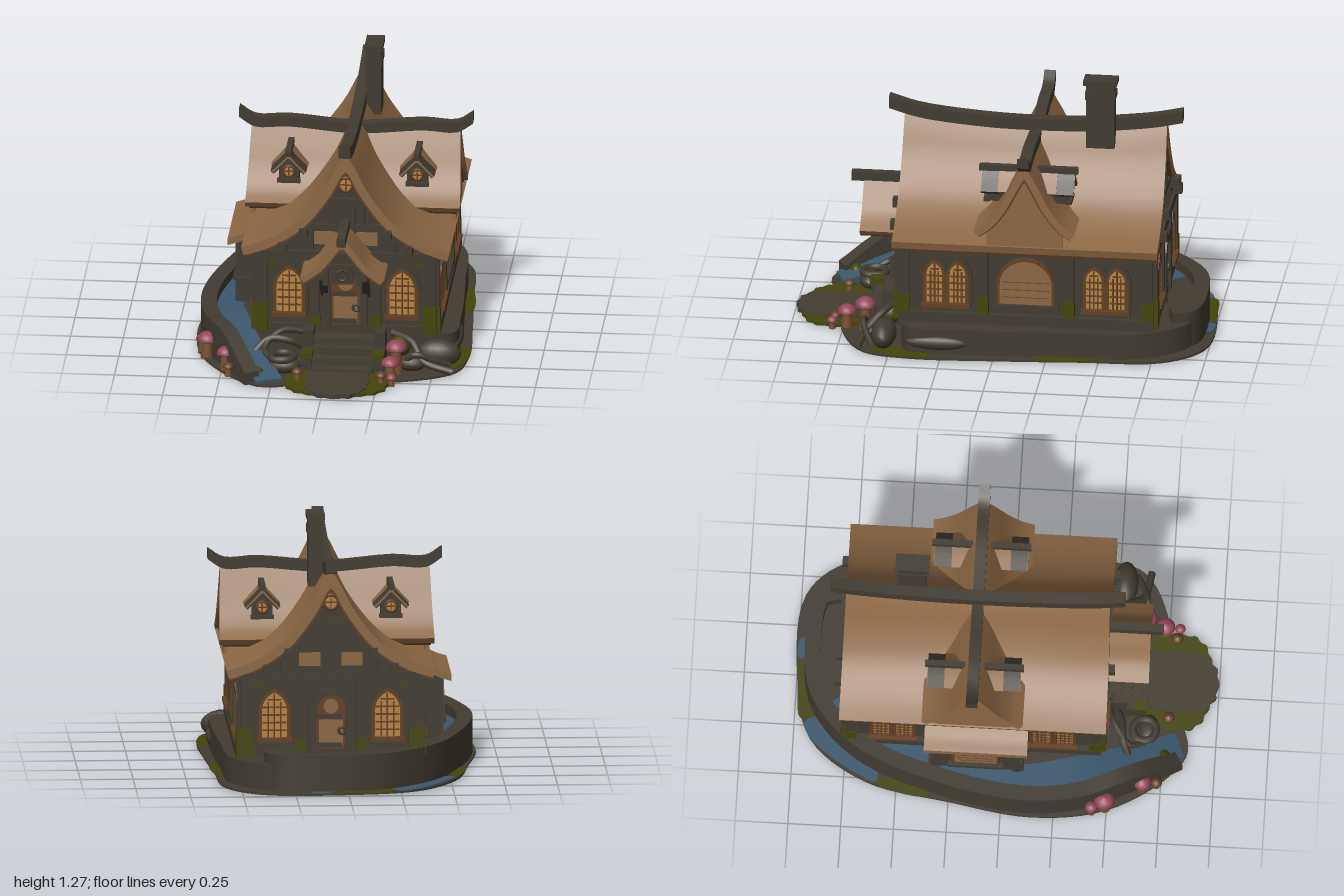
import * as THREE from 'three';
import { toCreasedNormals } from 'three/addons/utils/BufferGeometryUtils.js';

const mat = (name, color) => Object.assign(new THREE.MeshStandardMaterial({ color }), { name });
const timber = mat('timber and stone', 0x423c31), thatch = mat('thatch', 0x8c6743), gold = mat('lit glass', 0xba853f);
const brown = mat('brown wood', 0x623f24), pink = mat('mushroom cap', 0x944657), water = mat('water', 0x3b586e);
const moss = mat('moss', 0x434508), path = mat('path', 0x443e31), stem = mat('mushroom stem', 0x744d2e);

const V2 = (x, y) => new THREE.Vector2(x, y);
const V3 = (p) => new THREE.Vector3(...p);

function add(parent, name, geo, material, x = 0, y = 0, z = 0) {
  const m = new THREE.Mesh(geo, material);
  m.name = name;
  m.position.set(x, y, z);
  parent.add(m);
  return m;
}
const box = (parent, name, m, w, h, d, x, y, z) => add(parent, name, new THREE.BoxGeometry(w, h, d), m, x, y, z);
function group(parent, name, x = 0, y = 0, z = 0, ry = 0) {
  const g = new THREE.Group();
  g.name = name;
  g.position.set(x, y, z);
  g.rotation.y = ry;
  parent.add(g);
  return g;
}

// Box bent along a curve through its top; without a height it reaches the ground
function beam(parent, name, m, pts, w, h = null, seg = 24) {
  const curve = new THREE.CatmullRomCurve3(pts.map(V3));
  const geo = new THREE.BoxGeometry(1, 1, 1, pts.length > 2 ? seg : 1, 1, 1), pos = geo.attributes.position;
  const up = new THREE.Vector3(0, 1, 0);
  for (let i = 0; i < pos.count; i++) {
    const u = pos.getX(i) + 0.5, p = curve.getPoint(u), side = curve.getTangent(u).cross(up).normalize();
    p.addScaledVector(side, pos.getZ(i) * w);
    if (pos.getY(i) < 0) p.y = h === null ? 0 : p.y - h;
    pos.setXYZ(i, p.x, p.y, p.z);
  }
  return add(parent, name, toCreasedNormals(geo, 0.6), m);
}

// Flat slab with a smooth outline in x and z
function slab(parent, name, m, pts, y, h) {
  const c = new THREE.CatmullRomCurve3(pts.map(([x, z]) => new THREE.Vector3(x, -z, 0)), true);
  const geo = new THREE.ExtrudeGeometry(new THREE.Shape(c.getPoints(96).map((p) => V2(p.x, p.y))), { depth: h, bevelEnabled: false });
  return add(parent, name, toCreasedNormals(geo.rotateX(-Math.PI / 2), 0.6), m, 0, y, 0);
}

// Half roof profiles run from the ridge down to the eave
const spline = (pts) => new THREE.SplineCurve(pts.map((p) => V2(...p))).getPoints(16);
function inset(pts, t) {
  if (!t) return pts;
  const moved = pts.map((p, i) => {
    const a = pts[Math.max(i - 1, 0)], b = pts[Math.min(i + 1, pts.length - 1)], d = b.clone().sub(a).normalize();
    return V2(p.x + d.y * t, p.y - d.x * t);
  }).filter((p) => p.x > 0.004);
  return [V2(0, pts[0].y - 2.1 * t), ...moved];
}
const mirror = (pts) => pts.slice(1).map((p) => V2(-p.x, p.y));
function extrude(shape, depth, steps = 1) {
  return new THREE.ExtrudeGeometry(shape, { depth, steps, bevelEnabled: false, curveSegments: 10 }).translate(0, 0, -depth / 2);
}
// Roof sheet between two insets; the ridge rises by sag and the eave flares out towards both ends
function roofGeo(pts, t0, t1, depth, sag = 0, flare = 0) {
  const o = inset(pts, t0), n = inset(pts, t1);
  const geo = extrude(new THREE.Shape([...o, ...n.slice().reverse(), ...mirror(n), ...mirror(o).reverse()]), depth, sag ? 12 : 1);
  const pos = geo.attributes.position, low = pts[pts.length - 1].y, rise = pts[0].y - low;
  for (let i = 0; i < pos.count; i++) {
    const k = Math.min(Math.max((pos.getY(i) - low) / rise, 0), 1), u = (2 * pos.getZ(i)) / depth;
    pos.setY(i, pos.getY(i) + sag * k * u * u);
    pos.setZ(i, pos.getZ(i) + flare * u * (1 - k));
  }
  return toCreasedNormals(geo, 0.6);
}
function gableGeo(pts, t, half, base, depth) {
  const n = inset(pts, t).filter((p) => p.x < half);
  const side = [...n, V2(half, n[n.length - 1].y), V2(half, base)];
  return extrude(new THREE.Shape([...side, ...mirror(side).reverse()]), depth);
}

// Arched outline standing on y = 0
function arch(w, h, pointed, C = THREE.Shape) {
  const s = new C(), r = w / 2, y0 = pointed ? h - w * 0.8 : h - r;
  s.moveTo(-r, 0);
  s.lineTo(r, 0);
  s.lineTo(r, y0);
  if (pointed) {
    s.quadraticCurveTo(r, h - w * 0.25, 0, h);
    s.quadraticCurveTo(-r, h - w * 0.25, -r, y0);
  } else s.absarc(0, y0, r, 0, Math.PI, false);
  s.lineTo(-r, 0);
  return s;
}
function archFrame(g, name, m, w, h, t, d, pointed) {
  const s = arch(w + 2 * t, h + t, pointed);
  s.holes.push(arch(w, h, pointed, THREE.Path));
  add(g, name, extrude(s, d), m, 0, 0, d / 2);
}
function archWindow(parent, x, y, z, w, h) {
  const g = group(parent, 'archedWindow', x, y, z);
  add(g, 'glass', extrude(arch(w, h, true), 0.008), gold, 0, 0, 0.006);
  archFrame(g, 'windowFrame', brown, w, h, 0.016, 0.022, true);
  archFrame(g, 'windowSurround', timber, w + 0.032, h + 0.016, 0.016, 0.016, true);
  for (const k of [-1, 0, 1]) box(g, 'mullion', brown, 0.007, h * (k ? 0.78 : 0.97), 0.008, k * w * 0.25, h * (k ? 0.39 : 0.485), 0.012);
  for (let i = 1; i < 6; i++) box(g, 'glazingBar', brown, w * (i === 5 ? 0.55 : 0.94), 0.007, 0.008, 0, (h * i) / 6, 0.012);
  box(g, 'sill', brown, w + 0.045, 0.02, 0.045, 0, -0.008, 0.018);
}
function shutter(parent, x, y, z, ry, w, h) {
  const g = group(parent, 'archedShutter', x, y, z, ry);
  add(g, 'shutterPanel', extrude(arch(w, h, false), 0.01), thatch, 0, 0, 0.006);
  archFrame(g, 'shutterFrame', brown, w, h, 0.014, 0.02, false);
  for (let i = 1; i < 4; i++) box(g, 'plankJoint', brown, w * 0.9, 0.003, 0.004, 0, i * h * 0.17, 0.011);
  box(g, 'sill', timber, w + 0.06, 0.025, 0.04, 0, -0.01, 0.01);
}
function roundWindow(parent, y, z, r) {
  add(parent, 'roundGlass', new THREE.CylinderGeometry(r, r, 0.008, 20).rotateX(Math.PI / 2), gold, 0, y, z);
  add(parent, 'roundFrame', new THREE.TorusGeometry(r, r * 0.24, 8, 20), brown, 0, y, z);
  box(parent, 'roundBar', brown, 0.006, 2 * r, 0.008, 0, y, z + 0.004);
  box(parent, 'roundBar', brown, 2 * r, 0.006, 0.008, 0, y, z + 0.004);
}
function door(parent, y, z) {
  const g = group(parent, 'door', 0, y, z);
  add(g, 'doorLeaf', extrude(arch(0.14, 0.3, false), 0.012), brown, 0, 0, 0.008);
  archFrame(g, 'doorFrame', timber, 0.14, 0.3, 0.035, 0.035, false);
  add(g, 'doorGlass', new THREE.CylinderGeometry(0.035, 0.035, 0.006, 20).rotateX(Math.PI / 2), thatch, 0, 0.245, 0.016);
  box(g, 'doorPanel', thatch, 0.115, 0.125, 0.006, 0, 0.118, 0.016);
  for (const h of [0.06, 0.195]) box(g, 'hinge', timber, 0.12, 0.022, 0.008, -0.008, h, 0.02);
  add(g, 'doorRing', new THREE.TorusGeometry(0.016, 0.007, 8, 16), timber, 0.052, 0.13, 0.026);
}

const mainRoof = spline([[0, 1.01], [0.05, 0.935], [0.105, 0.835], [0.2, 0.715], [0.29, 0.645], [0.4, 0.59], [0.495, 0.56]]);
const crossRoof = spline([[0, 0.975], [0.06, 0.87], [0.12, 0.76], [0.18, 0.685], [0.24, 0.64]]);
const porchRoof = spline([[0, 0.695], [0.06, 0.62], [0.12, 0.545], [0.2, 0.485]]);
const dormerRoof = spline([[0, 0.885], [0.035, 0.845], [0.085, 0.795]]);

// Gable front with wall timbers, used at both ends of the house
function gableEnd(house, ry, front) {
  const g = group(house, front ? 'frontGable' : 'backGable', 0, 0, 0, ry), z = 0.602;
  box(g, 'tieBeam', timber, 0.87, 0.045, 0.05, 0, 0.525, z);
  box(g, 'groundBeam', timber, 0.86, 0.04, 0.04, 0, 0.16, z);
  box(g, 'middleBeam', timber, 0.42, 0.025, 0.03, 0, 0.67, z);
  box(g, 'upperBeam', timber, 0.2, 0.03, 0.035, 0, 0.8, z);
  for (const s of [-1, 1]) {
    for (const [x, y, h] of [[0.035, 0.67, 0.26], [0.08, 0.735, 0.12], [0.165, 0.6, 0.15], [0.23, 0.575, 0.1]]) box(g, 'stud', timber, 0.02, h, 0.025, s * x, y, z);
    beam(g, 'gableBrace', timber, [[s * 0.32, 0.56, z], [s * 0.17, 0.69, z]], 0.03, 0.03);
    box(g, 'gablePanel', thatch, 0.1, 0.065, 0.008, s * 0.1, 0.61, 0.601);
    box(g, 'cornerPost', timber, 0.055, 0.38, 0.05, s * 0.4, 0.33, z);
    box(g, 'postMoss', moss, 0.062, 0.14, 0.056, s * 0.4, 0.215, z);
    box(g, 'wallMoss', moss, 0.045, 0.025, 0.008, s * 0.35, 0.488, 0.601);
    box(g, 'doorPost', timber, 0.045, 0.36, 0.05, s * 0.145, 0.34, z);
    box(g, 'postMoss', moss, 0.05, 0.06, 0.056, s * 0.145, 0.2, z);
    archWindow(g, s * 0.268, 0.235, 0.6, 0.12, 0.22);
  }
  roundWindow(g, 0.885, 0.608, 0.034);
  door(g, 0.14, 0.598);
}

function sideWall(house, s) {
  const g = group(house, s > 0 ? 'leftWall' : 'rightWall', 0, 0, 0, s * Math.PI / 2), z = 0.425;
  box(g, 'wallPlate', timber, 1.21, 0.04, 0.04, 0, 0.53, z);
  box(g, 'groundBeam', timber, 1.21, 0.05, 0.05, 0, 0.165, z);
  for (const k of [-1, 1]) {
    for (const x of [0.58, 0.205]) {
      box(g, 'wallPost', timber, 0.05, 0.38, 0.04, k * x, 0.34, z);
      box(g, 'postMoss', moss, 0.056, 0.13, 0.047, k * x, 0.21, z);
    }
    for (const d of [-0.055, 0.055]) archWindow(g, k * 0.38 + d, 0.235, 0.421, 0.075, 0.205);
  }
  if (s > 0) shutter(g, 0, 0.24, 0.421, 0, 0.25, 0.225);
  // Cross gable end
  add(g, 'crossGableFill', gableGeo(crossRoof, 0.035, 0.18, 0.55, 0.02), thatch, 0, 0, 0.478);
}

function buildHouse(model) {
  const house = group(model, 'house', 0.075, 0, -0.145);
  add(house, 'houseWalls', gableGeo(mainRoof, 0.03, 0.42, 0.02, 1.196), timber);
  add(house, 'mainRoof', roofGeo(mainRoof, 0, 0.04, 1.25, 0.035, 0.008), thatch);
  add(house, 'mainRoofLining', roofGeo(mainRoof, 0.038, 0.05, 1.245, 0.035), brown);
  add(house, 'crossRoof', roofGeo(crossRoof, 0, 0.034, 0.99, 0.012, 0.015).rotateY(Math.PI / 2), thatch);
  add(house, 'crossRoofLining', roofGeo(crossRoof, 0.032, 0.044, 0.985, 0.012).rotateY(Math.PI / 2), brown);
  beam(house, 'mainRidge', timber, [[0, 1.1, -0.7], [0, 1.07, -0.56], [0, 1.04, -0.3], [0, 1.028, 0], [0, 1.04, 0.3], [0, 1.07, 0.56], [0, 1.11, 0.7]], 0.055, 0.06);
  beam(house, 'crossRidge', timber, [[-0.555, 1.04, 0], [-0.48, 0.995, 0], [-0.32, 1.0, 0], [0, 0.975, 0], [0.32, 1.0, 0], [0.48, 0.995, 0], [0.555, 1.04, 0]], 0.055, 0.05);
  gableEnd(house, 0, true);
  gableEnd(house, Math.PI, false);
  for (const s of [-1, 1]) {
    sideWall(house, s);
    for (const [x, y] of [[0.3, 0.57], [0.2, 0.645]]) for (const k of [-1, 1]) box(house, 'purlinEnd', timber, 0.04, 0.045, 0.07, s * x, y, k * 0.625);
    // Dormers on both slopes
    for (const k of [0, Math.PI]) {
      const d = group(house, 'dormer', s * 0.305, 0, 0, k);
      add(d, 'dormerWall', gableGeo(dormerRoof, 0.01, 0.048, 0.735, 0.17), timber, 0, 0, 0.105);
      add(d, 'dormerThatch', roofGeo(dormerRoof, -0.004, 0.018, 0.11), thatch, 0, 0, 0.085);
      add(d, 'dormerRoof', roofGeo(dormerRoof, 0, 0.02, 0.09), timber, 0, 0, 0.175);
      add(d, 'dormerRake', roofGeo(dormerRoof, 0.004, 0.013, 0.008), thatch, 0, 0, 0.218);
      box(d, 'dormerRidge', timber, 0.028, 0.03, 0.22, 0, 0.888, 0.125);
      box(d, 'dormerSill', timber, 0.11, 0.018, 0.03, 0, 0.742, 0.195);
      roundWindow(d, 0.788, 0.194, 0.026);
    }
  }
  // Lean-to bay
  const bay = group(house, 'leanTo', 0, 0, 0.02);
  box(bay, 'leanToWall', timber, 0.13, 0.44, 0.4, -0.48, 0.25, 0);
  shutter(bay, -0.543, 0.23, 0, -Math.PI / 2, 0.2, 0.19);
  beam(bay, 'leanToRoof', thatch, [[-0.59, 0.465, 0], [-0.52, 0.49, 0], [-0.41, 0.565, 0]], 0.49, 0.035);
  for (const k of [-1, 1]) {
    box(bay, 'leanToPost', timber, 0.04, 0.36, 0.04, -0.535, 0.25, k * 0.19);
    box(bay, 'postPlinth', timber, 0.08, 0.12, 0.05, -0.51, 0.2, k * 0.2);
  }
  // Chimney
  box(house, 'chimneyShaft', timber, 0.072, 0.33, 0.135, 0.06, 1.085, -0.315);
  box(house, 'chimneyBand', timber, 0.082, 0.035, 0.145, 0.06, 1.185, -0.315);
  box(house, 'chimneyCap', timber, 0.086, 0.025, 0.16, 0.06, 1.253, -0.315);
  // Porch
  const porch = group(house, 'porch', 0, 0, 0.71);
  add(porch, 'porchRoof', roofGeo(porchRoof, 0, 0.03, 0.22), thatch);
  add(porch, 'porchRoofLining', roofGeo(porchRoof, 0.028, 0.038, 0.215), brown);
  add(porch, 'porchGable', gableGeo(porchRoof, 0.03, 0.09, 0.53, 0.02), timber, 0, 0, 0.06);
  box(porch, 'porchRidge', timber, 0.04, 0.045, 0.3, 0, 0.69, 0.02);
  box(porch, 'porchBeam', timber, 0.18, 0.025, 0.035, 0, 0.535, 0.075);
  box(porch, 'porchPlaque', timber, 0.1, 0.09, 0.02, 0, 0.495, 0.075);
  add(porch, 'plaqueRing', new THREE.TorusGeometry(0.026, 0.006, 8, 18), timber, 0, 0.495, 0.087);
  for (const s of [-1, 1]) {
    box(porch, 'hangingPost', timber, 0.03, 0.1, 0.035, s * 0.08, 0.495, 0.075);
    box(porch, 'porchPlate', timber, 0.035, 0.035, 0.2, s * 0.1, 0.485, -0.01);
    beam(porch, 'porchBrace', timber, [[s * 0.1, 0.36, -0.1], [s * 0.1, 0.46, 0.0], [s * 0.1, 0.49, 0.03]], 0.035, 0.04);
  }
}

function mushroom(parent, x, z, h, r, cap = pink) {
  const g = group(parent, 'mushroom', x, 0, z);
  add(g, 'stem', new THREE.CylinderGeometry(r * 0.4, r * 0.65, h, 12), stem, 0, h / 2, 0);
  const prof = [[0, -0.1], [0.8, -0.15], [1, 0], [0.85, 0.4], [0.5, 0.7], [0, 0.82]].map(([a, b]) => V2(a * r, b * r));
  add(g, 'cap', new THREE.LatheGeometry(prof, 18), cap, 0, h, 0);
}
function rock(parent, x, y, z, a, b, c, m = timber) {
  add(parent, 'boulder', new THREE.SphereGeometry(1, 16, 10), m, x, y, z).scale.set(a, b, c);
}
function root(parent, pts, r) {
  add(parent, 'root', new THREE.TubeGeometry(new THREE.CatmullRomCurve3(pts.map(V3)), 24, r, 8), timber);
}

function buildGarden(model) {
  const g = group(model, 'garden');
  slab(g, 'ground', timber, [[0, -1], [0.4, -0.98], [0.57, -0.8], [0.61, -0.4], [0.64, 0], [0.655, 0.4], [0.6, 0.62], [0.35, 0.75], [0, 0.78], [-0.28, 0.87], [-0.42, 0.78], [-0.6, 0.5], [-0.655, 0.15], [-0.6, -0.25], [-0.52, -0.65], [-0.32, -0.92]], 0, 0.01);
  slab(g, 'backWater', water, [[-0.24, -0.95], [-0.34, -0.9], [-0.5, -0.66], [-0.52, -0.6], [-0.4, -0.6], [-0.2, -0.8]], 0.008, 0.005);
  slab(g, 'backWater', water, [[0.08, -0.995], [0.18, -0.99], [0.16, -0.92], [0.08, -0.92]], 0.008, 0.005);
  slab(g, 'sideMoss', moss, [[0.54, -0.55], [0.595, -0.5], [0.615, -0.2], [0.56, -0.2]], 0.008, 0.005);
  slab(g, 'sideMoss', moss, [[0.56, 0.35], [0.645, 0.3], [0.64, 0.5], [0.57, 0.6]], 0.008, 0.005);
  slab(g, 'sideMoss', moss, [[-0.5, -0.6], [-0.53, -0.6], [-0.58, -0.35], [-0.55, -0.35]], 0.008, 0.005);
  slab(g, 'backMoss', moss, [[-0.22, -0.97], [-0.05, -0.994], [0.07, -0.992], [0.07, -0.9], [-0.2, -0.9]], 0.008, 0.005);
  slab(g, 'terrace', timber, [[-0.1, -0.9], [0.36, -0.92], [0.54, -0.72], [0.58, -0.3], [0.6, 0.2], [0.58, 0.42], [0.3, 0.44], [-0.3, 0.44], [-0.42, 0.3], [-0.5, -0.1], [-0.4, -0.6]], 0, 0.135);
  beam(g, 'retainingWall', timber, [[0.36, -0.82], [0.33, -0.9], [0.1, -0.93], [-0.15, -0.89], [-0.38, -0.68], [-0.53, -0.3], [-0.6, 0.1], [-0.565, 0.38], [-0.46, 0.62], [-0.34, 0.83]].map(([x, z]) => [x, z < 0.7 ? 0.185 : 0.06, z]), 0.075, null, 48);
  beam(g, 'stream', water, [[-0.15, 0.14, -0.79], [-0.32, 0.145, -0.65], [-0.45, 0.145, -0.35], [-0.51, 0.14, 0.05], [-0.45, 0.14, 0.35], [-0.36, 0.09, 0.6], [-0.26, 0.025, 0.83]], 0.13, 0.03, 40);
  // Path with a scalloped mossy edge
  const round = (v) => Math.sign(v) * Math.abs(v) ** 0.75;
  const scallop = (rx, rz) => Array.from({ length: 32 }, (_, i) => {
    const a = (i / 32) * Math.PI * 2, k = i % 2 ? 0.95 : 1;
    return [0.06 + rx * k * round(Math.cos(a)), 0.79 + rz * k * round(Math.sin(a))];
  });
  slab(g, 'pathMoss', moss, scallop(0.25, 0.18), 0, 0.014);
  slab(g, 'path', path, scallop(0.155, 0.21), 0, 0.02);
  // Steps and cheek walls
  for (let i = 0; i < 4; i++) box(g, 'step', path, 0.29, 0.034 * (i + 1), 0.235 - i * 0.05, 0.075, 0.017 * (i + 1), 0.5725 - i * 0.025);
  for (const s of [-1, 1]) {
    box(g, 'stepCheek', timber, 0.05, 0.18, 0.12, 0.075 + s * 0.17, 0.09, 0.51);
    box(g, 'stepCheekLow', timber, 0.05, 0.1, 0.1, 0.075 + s * 0.17, 0.05, 0.61);
    box(g, 'cheekMoss', moss, 0.054, 0.03, 0.06, 0.075 + s * 0.17, 0.088, 0.635);
  }
  // Boulders and mossy lumps
  rock(g, 0.52, 0.072, 0.53, 0.11, 0.068, 0.06);
  rock(g, 0.59, 0.062, 0.27, 0.03, 0.035, 0.15);
  rock(g, -0.2, 0.046, 0.68, 0.08, 0.04, 0.05);
  rock(g, 0.4, 0.046, 0.6, 0.07, 0.04, 0.05);
  rock(g, -0.33, 0.035, 0.76, 0.04, 0.03, 0.03, moss);
  rock(g, 0.34, 0.1, 0.52, 0.05, 0.05, 0.05, moss);
  // Curling roots
  root(g, [[-0.08, 0.05, 0.5], [-0.18, 0.12, 0.55], [-0.28, 0.13, 0.56], [-0.36, 0.06, 0.6]], 0.018);
  root(g, [[-0.1, 0.14, 0.48], [-0.22, 0.16, 0.52], [-0.3, 0.1, 0.6], [-0.22, 0.05, 0.7], [-0.14, 0.03, 0.66]], 0.015);
  root(g, [[0.3, 0.15, 0.48], [0.4, 0.13, 0.55], [0.46, 0.06, 0.62], [0.6, 0.022, 0.65]], 0.018);
  root(g, [[0.34, 0.025, 0.6], [0.42, 0.1, 0.64], [0.5, 0.07, 0.62], [0.58, 0.03, 0.58]], 0.015);
  add(g, 'rootCoil', new THREE.TorusGeometry(0.055, 0.018, 8, 20).rotateX(Math.PI / 2), timber, -0.21, 0.08, 0.66);
  // Mushrooms
  for (const [x, z, h, r] of [[-0.58, 0.49, 0.09, 0.05], [-0.61, 0.43, 0.07, 0.03], [-0.48, 0.665, 0.09, 0.042], [0.33, 0.64, 0.13, 0.052], [0.31, 0.73, 0.085, 0.046], [0.32, 0.8, 0.04, 0.025]]) mushroom(g, x, z, h, r);
  for (const [x, z] of [[-0.13, 0.77], [-0.46, 0.73], [0.27, 0.79]]) mushroom(g, x, z, 0.045, 0.028, brown);
}

export function createModel() {
  const model = new THREE.Group();
  model.name = 'cottage';
  buildHouse(model);
  buildGarden(model);
  return model;
}
